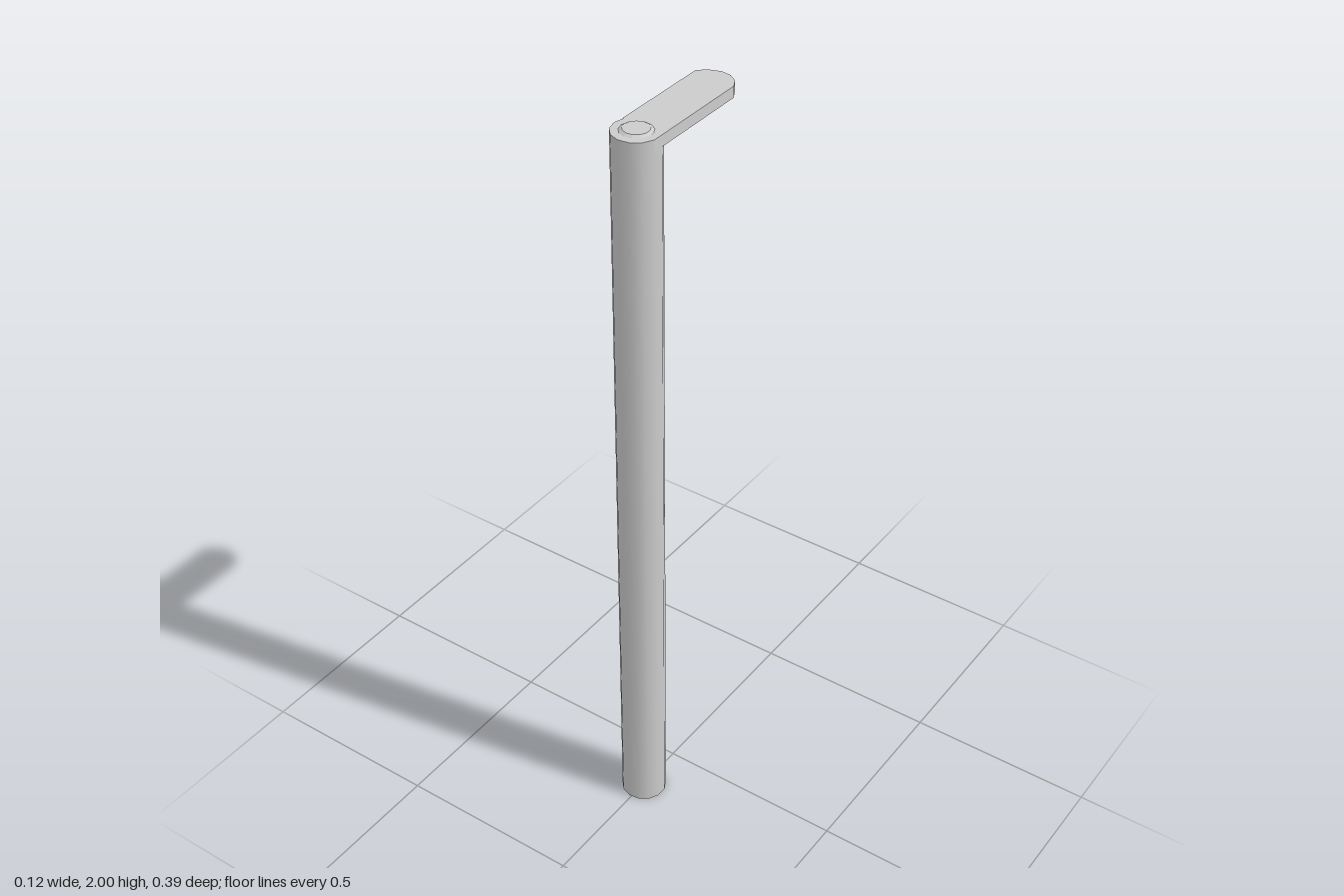
import * as THREE from 'three';

const SIDES = 13;
const POST_Z = 0.137;
const TOP = 1.995;

export function createModel() {
  const group = new THREE.Group();
  const smooth = new THREE.MeshStandardMaterial({ color: 0xcccccc });
  const flat = new THREE.MeshStandardMaterial({ color: 0xcccccc, flatShading: true });

  function add(name, geometry, material) {
    const mesh = new THREE.Mesh(geometry, material);
    mesh.name = name;
    group.add(mesh);
    return mesh;
  }

  // Round upright with one corner pointing to -x
  function round(rTop, rBottom, y0, y1) {
    return new THREE.CylinderGeometry(rTop, rBottom, y1 - y0, SIDES, 1, false, -Math.PI / 2)
      .translate(0, (y0 + y1) / 2, POST_Z);
  }
  add('post', round(0.0595, 0.0595, 0, TOP), smooth);

  // Low bevelled cap on top of the post
  add('cap', round(0.032, 0.04, TOP, 2), flat);

  // Flat arm reaching backwards, with a rounded far end (x, -z)
  const outline = [
    [0.058, -0.151], [0.058, 0.153], [0.045, 0.177], [0.022, 0.193],
    [-0.004, 0.197], [-0.034, 0.187], [-0.056, 0.168], [-0.056, -0.11],
  ].map(([x, y]) => new THREE.Vector2(x, y));
  const armGeometry = new THREE.ExtrudeGeometry(new THREE.Shape(outline), {
    depth: 0.029, bevelEnabled: false,
  });
  armGeometry.rotateX(-Math.PI / 2).translate(0, TOP - 0.029, 0);
  add('arm', armGeometry, flat);

  return group;
}
